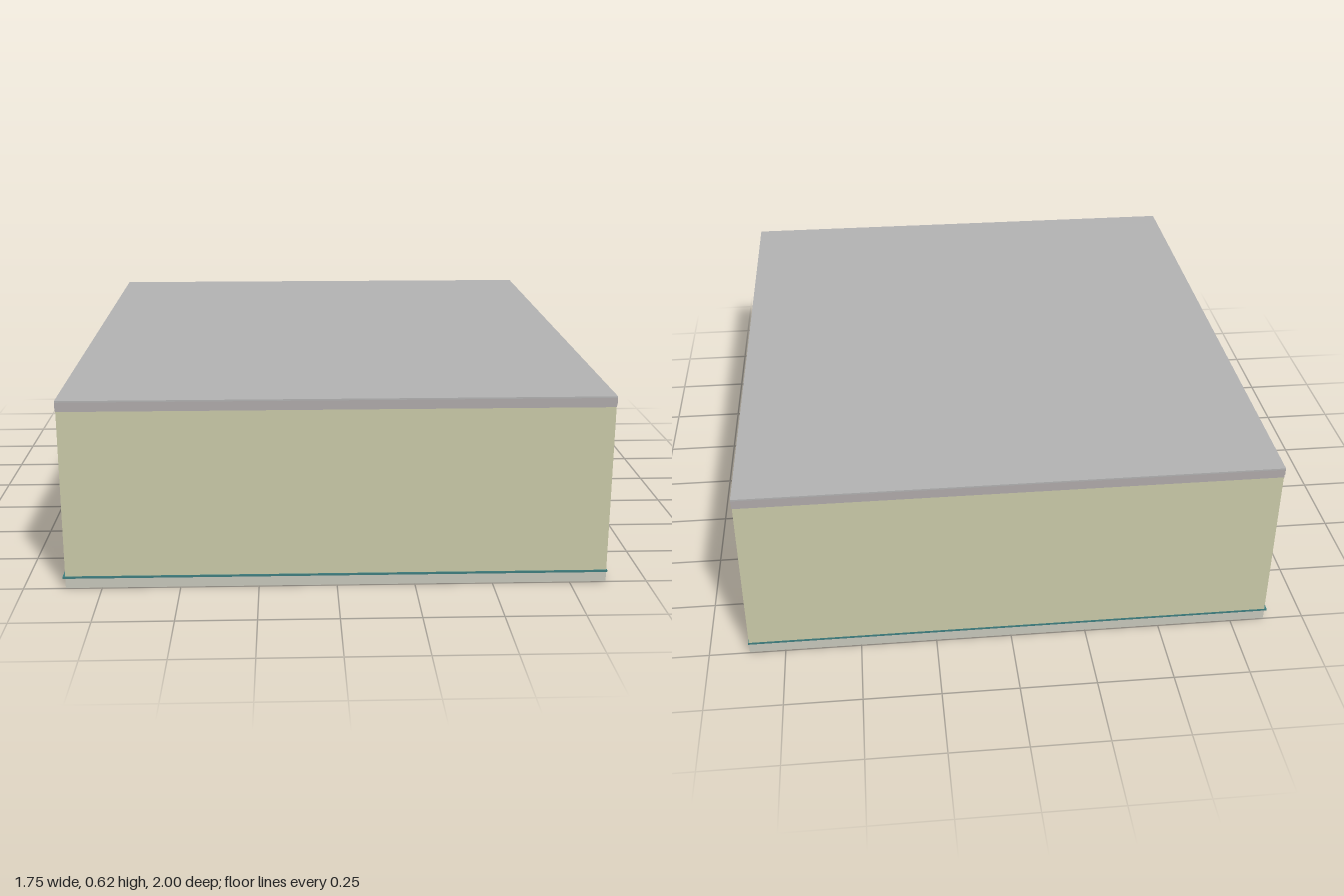
import * as THREE from 'three';

const mat = (name, color) => {
  const m = new THREE.MeshStandardMaterial({ color });
  m.name = name;
  return m;
};

export function createModel() {
  const M = {
    wall: mat('cream wall', 0xcbcba9),
    roof: mat('grey roof', 0xb3b3b3),
    cornice: mat('cornice grey', 0xb0abab),
    plinth: mat('plinth stone', 0xc8c8bc),
    band: mat('teal band', 0x3f7f80),
    frame: mat('pink frame', 0xc99a92),
    glass: mat('blue glass', 0x76a3cb),
    door: mat('olive door', 0xbfbb5c),
  };
  const model = new THREE.Group();
  model.name = 'building';

  // Box given by its minimum and maximum corners
  function box(parent, name, material, a, b) {
    const g = new THREE.BoxGeometry(b[0] - a[0], b[1] - a[1], b[2] - a[2]);
    const mesh = new THREE.Mesh(g, material);
    mesh.position.set((a[0] + b[0]) / 2, (a[1] + b[1]) / 2, (a[2] + b[2]) / 2);
    mesh.name = name;
    parent.add(mesh);
    return mesh;
  }

  // Stacked storeys of the shell
  const X0 = -0.866, X1 = 0.868, Z = 0.997;
  const layer = (name, m, y0, y1, out = 0) =>
    box(model, name, m, [X0 - out, y0, -Z - out], [X1 + out, y1, Z + out]);
  layer('plinth', M.plinth, 0, 0.033);
  box(model, 'plinthBand', M.band, [-0.874, 0.033, -0.998], [0.871, 0.04, 1]);
  layer('walls', M.wall, 0.04, 0.585);
  layer('corniceLower', M.cornice, 0.585, 0.597, 0.001);
  layer('corniceUpper', M.cornice, 0.597, 0.615, 0.002);
  layer('roof', M.roof, 0.615, 0.62, 0.002);

  // Thin plate on a side wall: side is +1 or -1, z0..z1 and y0..y1 its extent
  function plate(parent, name, material, side, z0, z1, y0, y1, depth) {
    const face = side > 0 ? X1 : X0;
    const xs = [face - side * 0.002, face + side * depth].sort((p, q) => p - q);
    return box(parent, name, material, [xs[0], y0, z0], [xs[1], y1, z1]);
  }

  // Frame border, evenly spaced mullions and one transom bar
  function frame(g, side, z0, z1, y0, y1, columns, transom) {
    const t = 0.007, d = 0.003;
    plate(g, 'frameTop', M.frame, side, z0, z1, y1 - t, y1, d);
    plate(g, 'frameBottom', M.frame, side, z0, z1, y0, y0 + t, d);
    plate(g, 'transom', M.frame, side, z0 + t, z1 - t, transom - 0.009, transom + 0.009, d);
    for (let i = 0; i <= columns; i++) {
      const edge = i === 0 || i === columns;
      const c = i === 0 ? z0 + t / 2 : i === columns ? z1 - t / 2 : z0 + (z1 - z0) * i / columns;
      const h = edge ? t / 2 : 0.006;
      plate(g, 'mullion', M.frame, side, c - h, c + h, y0 + t, y1 - t, d - 0.0002);
    }
  }

  function windowUnit(name, side, z0, z1, columns) {
    const g = new THREE.Group();
    g.name = name;
    plate(g, 'glass', M.glass, side, z0 + 0.003, z1 - 0.003, 0.158, 0.472, 0.0012);
    frame(g, side, z0, z1, 0.155, 0.475, columns, 0.382);
    model.add(g);
  }

  // Double door with a glazed transom light
  function doorUnit(name, side, z0, z1) {
    const g = new THREE.Group();
    g.name = name;
    const mid = (z0 + z1) / 2;
    plate(g, 'leaf', M.door, side, z0 + 0.003, mid, 0.042, 0.275, 0.0012);
    plate(g, 'leaf', M.door, side, mid, z1 - 0.003, 0.042, 0.275, 0.0012);
    plate(g, 'transomLight', M.glass, side, z0 + 0.003, z1 - 0.003, 0.275, 0.338, 0.0012);
    frame(g, side, z0, z1, 0.041, 0.341, 2, 0.278);
    plate(g, 'threshold', M.band, side, z0, z1, 0.0405, 0.046, 0.007);
    model.add(g);
  }

  windowUnit('sideWindowFront', 1, 0.47, 0.888, 3);
  windowUnit('sideWindowBack', 1, -0.878, -0.46, 3);
  for (const s of [-1, 1]) {
    const span = (a, b) => [s * a, s * b].sort((p, q) => p - q);
    windowUnit('entranceWindow', -1, ...span(0.03, 0.595), 4);
    doorUnit('entranceDoor', -1, ...span(0.607, 0.92));
  }
  return model;
}
